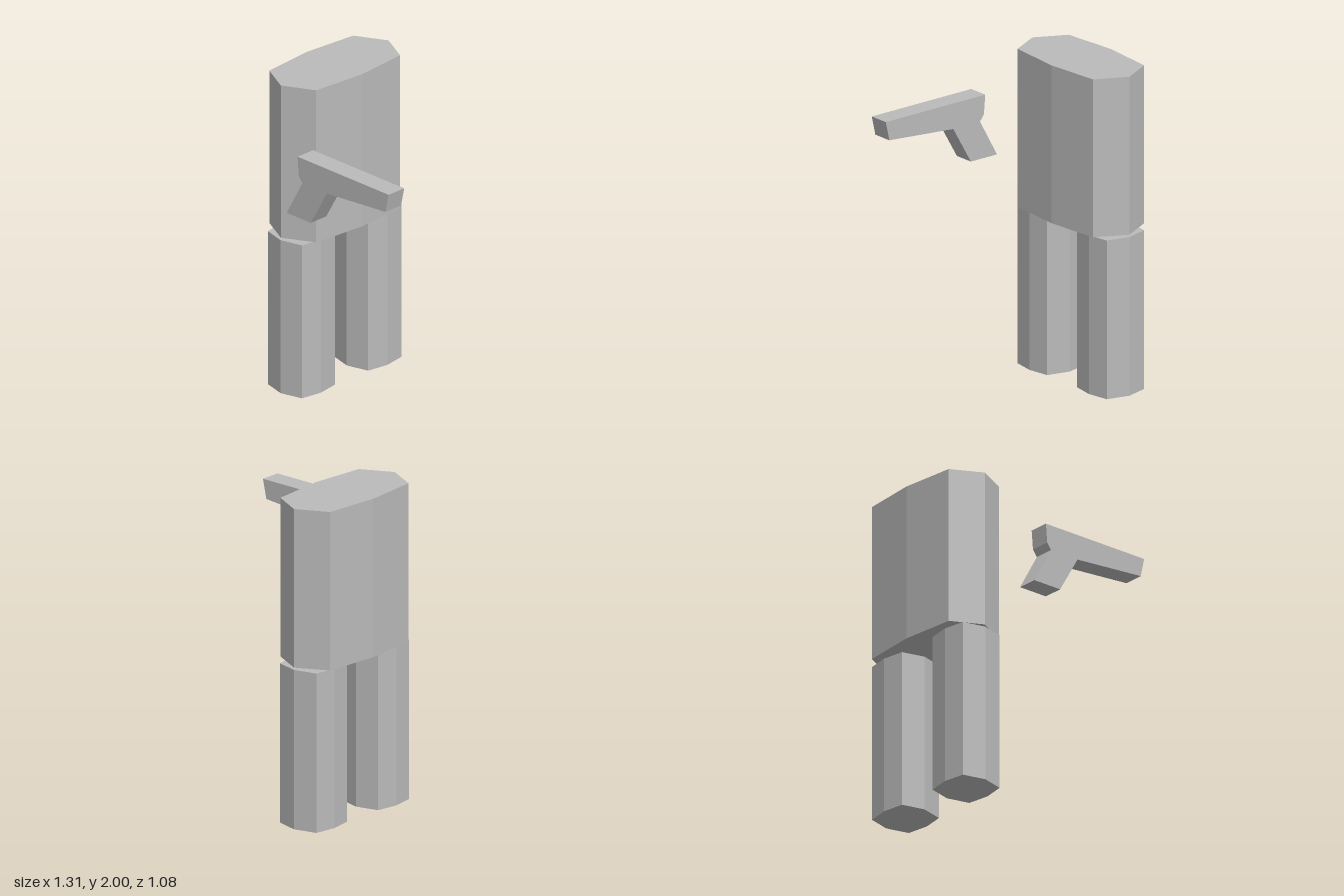
import * as THREE from 'three';

const grey = new THREE.MeshStandardMaterial({ color: 0xbababa });
grey.name = 'light grey';

function extrude(points, depth) {
  const shape = new THREE.Shape(points.map(([x, y]) => new THREE.Vector2(x, y)));
  return new THREE.ExtrudeGeometry(shape, { depth, bevelEnabled: false });
}

// Upright eight-sided prism: tips at the half extents, corners at (cx, cz)
function octagonPrism(name, halfX, halfZ, cx, cz, height, x, y, z) {
  const outline = [
    [halfX, 0], [cx, cz], [0, halfZ], [-cx, cz],
    [-halfX, 0], [-cx, -cz], [0, -halfZ], [cx, -cz],
  ];
  const mesh = new THREE.Mesh(extrude(outline, height).rotateX(-Math.PI / 2), grey);
  mesh.name = name;
  mesh.position.set(x, y, z);
  return mesh;
}

export function createModel() {
  const model = new THREE.Group();
  model.name = 'blockFigure';

  // Body, long from front to back
  model.add(octagonPrism('torso', 0.227, 0.45, 0.196, 0.35, 0.99, -0.43, 1.01, -0.09));

  // Two legs, one ahead of the other
  for (const [name, z] of [['frontLeg', 0.188], ['rearLeg', -0.365]]) {
    model.add(octagonPrism(name, 0.165, 0.175, 0.143, 0.138, 0.995, -0.43, 0, z));
  }

  // Flat pistol shape floating ahead of the body: barrel and slanted grip
  const profile = [
    [-0.11, 1.7], [-0.1, 1.58], [-0.07, 1.54], [-0.2, 1.305],
    [0, 1.305], [0.135, 1.54], [0.625, 1.58], [0.652, 1.7],
  ];
  const pistol = new THREE.Mesh(extrude(profile, 0.13), grey);
  pistol.name = 'pistol';
  pistol.position.z = 0.41;
  model.add(pistol);

  return model;
}
